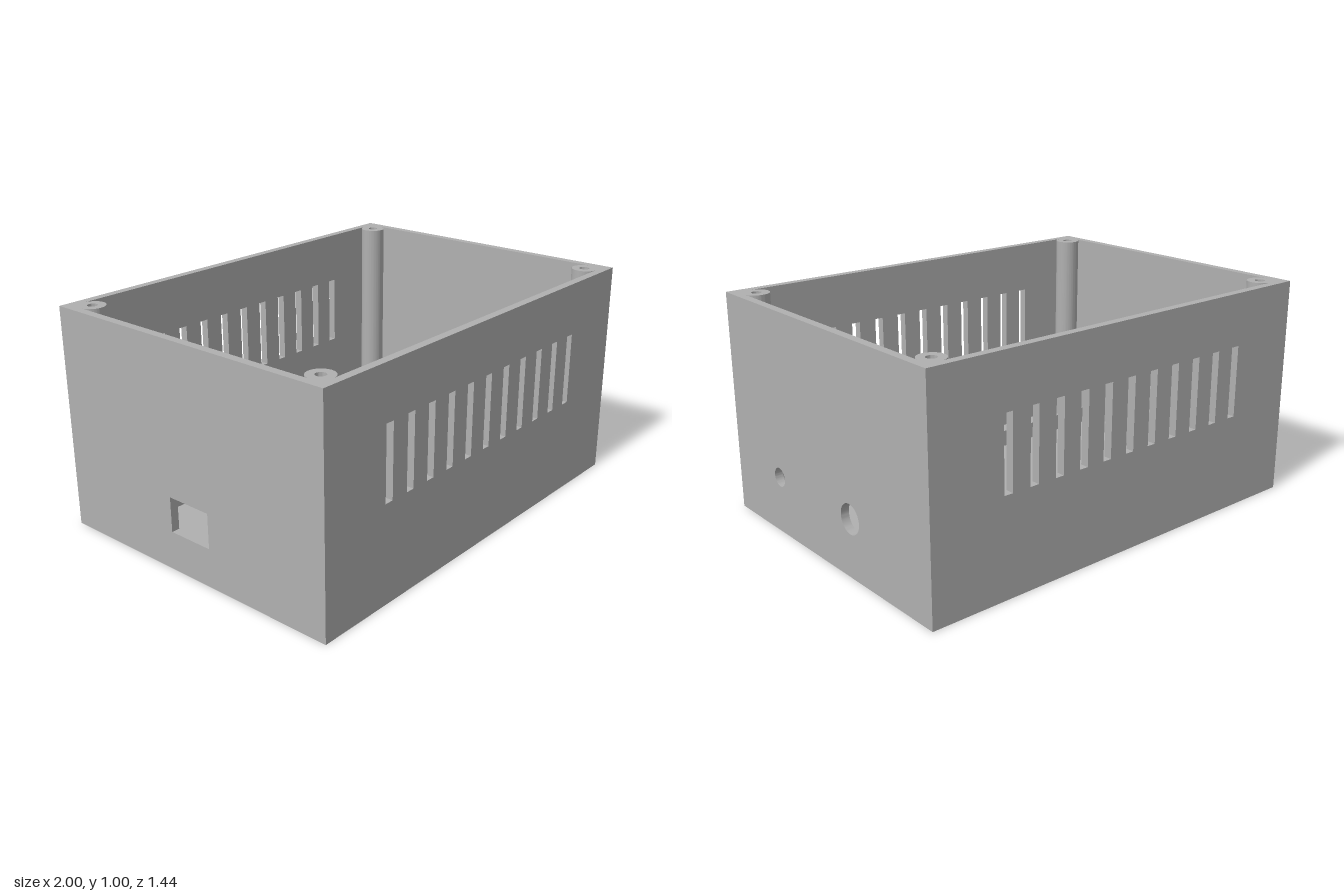
import * as THREE from 'three';
import { toCreasedNormals } from 'three/addons/utils/BufferGeometryUtils.js';

const W = 2, H = 0.995, D = 1.436, T = 0.037; // outer size and wall thickness

const rect = (path, u0, u1, v0, v1) =>
  path.moveTo(u0, v0).lineTo(u1, v0).lineTo(u1, v1).lineTo(u0, v1).closePath();
const rectHole = (u, v, w, h) => rect(new THREE.Path(), u - w / 2, u + w / 2, v - h / 2, v + h / 2);
const roundHole = (u, v, r) => new THREE.Path().absarc(u, v, r, 0, Math.PI * 2, true);

// Upright wall panel, outside facing +z, mitred at the ends and along the floor
function wallGeometry(length, holes) {
  const shape = rect(new THREE.Shape(), -length / 2, length / 2, 0, H);
  shape.holes.push(...holes);
  const geo = new THREE.ExtrudeGeometry(shape, { depth: T, bevelEnabled: false, curveSegments: 24 });
  const p = geo.attributes.position;
  for (let i = 0; i < p.count; i++) {
    if (p.getZ(i) > T / 2) continue;
    const u = p.getX(i);
    if (Math.abs(u) > length / 2 - 1e-4) p.setX(i, u - Math.sign(u) * T);
    if (p.getY(i) < 1e-4) p.setY(i, T);
  }
  return toCreasedNormals(geo, 0.5);
}

export function createModel() {
  const model = new THREE.Group();
  const grey = new THREE.MeshStandardMaterial({ color: 0xb0b0b0 });
  grey.name = 'grey plastic';

  const add = (name, geo, x = 0, y = 0, z = 0, turn = 0) => {
    const mesh = new THREE.Mesh(geo, grey);
    mesh.name = name;
    mesh.position.set(x, y, z);
    mesh.rotation.y = turn;
    model.add(mesh);
    return mesh;
  };

  // Front and back walls with a row of ventilation slots
  const slots = [];
  for (let i = -5; i <= 5; i++) slots.push(rectHole(i * 0.128, 0.597, 0.042, 0.323));
  const vented = wallGeometry(W, slots);
  add('frontWall', vented, 0, 0, D / 2 - T);
  add('backWall', vented, 0, 0, -D / 2 + T, Math.PI);

  // Side walls: two round sockets on +x, one rectangular port on -x
  const sockets = [roundHole(-0.355, 0.257, 0.042), roundHole(0.19, 0.257, 0.065)];
  add('socketWall', wallGeometry(D, sockets), W / 2 - T, 0, 0, Math.PI / 2);
  add('portWall', wallGeometry(D, [rectHole(0.007, 0.25, 0.215, 0.155)]), -W / 2 + T, 0, 0, -Math.PI / 2);

  // Floor, tapered to meet the mitred walls
  const floor = new THREE.BoxGeometry(W, T, D);
  const p = floor.attributes.position;
  for (let i = 0; i < p.count; i++) {
    if (p.getY(i) < 0) continue;
    p.setX(i, p.getX(i) - Math.sign(p.getX(i)) * T);
    p.setZ(i, p.getZ(i) - Math.sign(p.getZ(i)) * T);
  }
  add('floor', floor, 0, T / 2, 0);

  // Corner screw posts: round inwards, square into the corner, with a blind hole
  const R = 0.057, holeR = 0.022, holeDepth = 0.3;
  const postShape = new THREE.Shape().moveTo(R, 0).lineTo(R, R).lineTo(0, R);
  postShape.absarc(0, 0, R, Math.PI / 2, Math.PI * 2, false);
  postShape.holes.push(roundHole(0, 0, holeR));
  const postGeo = toCreasedNormals(new THREE.ExtrudeGeometry(postShape,
    { depth: H - T, bevelEnabled: false, curveSegments: 24 }).rotateX(-Math.PI / 2), 0.5);
  const plugHeight = H - T - holeDepth;
  const plugGeo = new THREE.CylinderGeometry(holeR, holeR, plugHeight, 24);
  const px = W / 2 - T - R, pz = D / 2 - T - R;
  [[1, -1], [-1, -1], [-1, 1], [1, 1]].forEach(([sx, sz], k) => {
    add('screwPost', postGeo, sx * px, T, sz * pz, k * Math.PI / 2);
    add('screwHoleBottom', plugGeo, sx * px, T + plugHeight / 2, sz * pz);
  });

  // Low three-sided rim on the floor that holds a circuit board
  const x0 = -W / 2 + T, x1 = 0.385, z0 = -0.468, z1 = 0.462, t = 0.016, rimH = 0.08;
  const rim = new THREE.Shape().moveTo(x0, -z1).lineTo(x1, -z1).lineTo(x1, -z0).lineTo(x0, -z0)
    .lineTo(x0, -z0 - t).lineTo(x1 - t, -z0 - t).lineTo(x1 - t, -z1 + t).lineTo(x0, -z1 + t).closePath();
  add('boardRim', new THREE.ExtrudeGeometry(rim, { depth: rimH, bevelEnabled: false })
    .rotateX(-Math.PI / 2), 0, T, 0);

  // Support block behind the large socket
  const blockH = 0.15;
  add('socketSupport', new THREE.BoxGeometry(0.126, blockH, 0.156), 0.735, T + blockH / 2, -0.196);

  return model;
}
